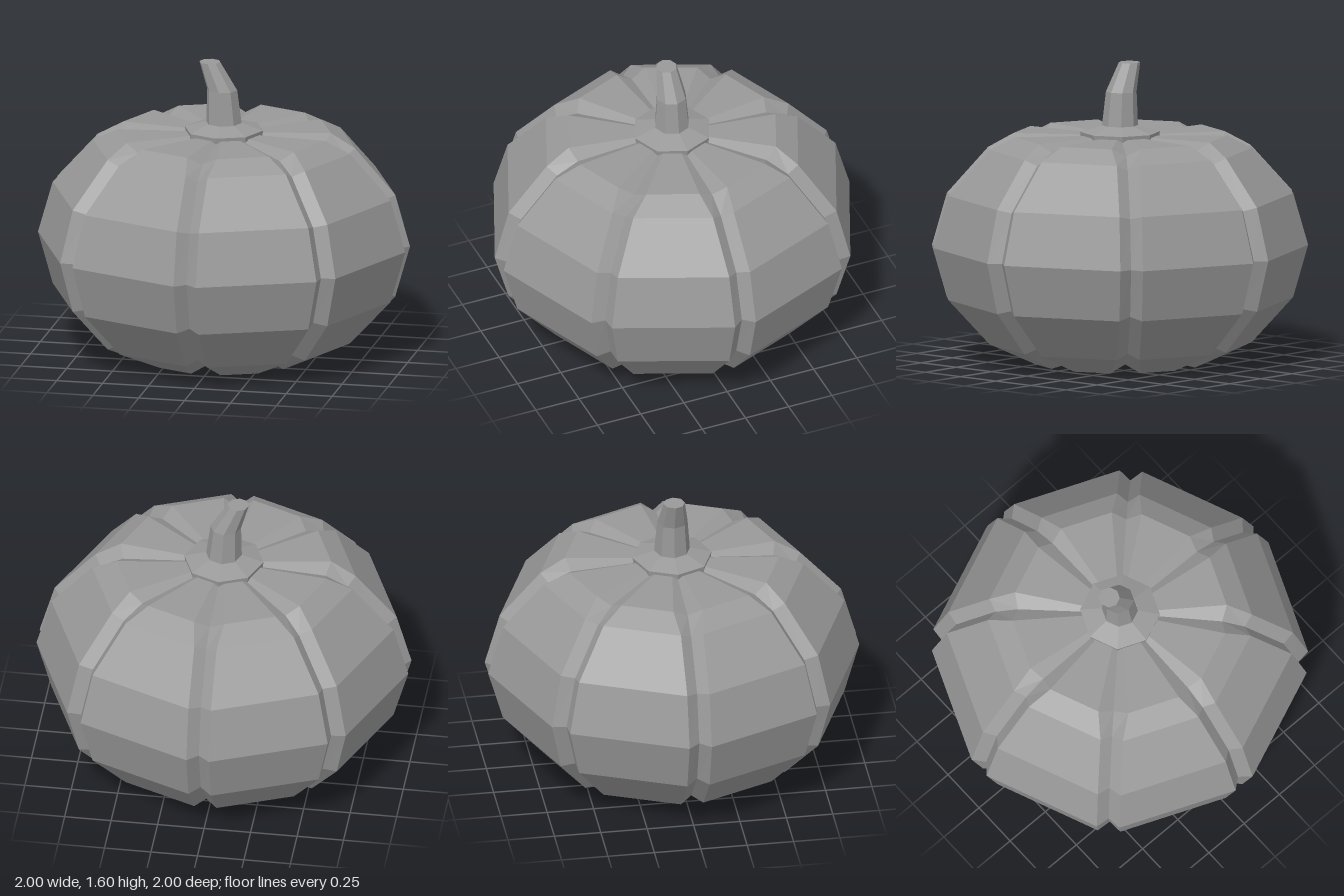
import * as THREE from 'three';

const material = new THREE.MeshStandardMaterial({ color: 0x999999, flatShading: true });

// Skins a stack of closed rings (lowest first), skipping collapsed triangles
function loft(name, rings) {
  const pos = [];
  const tri = (a, b, c) => {
    if (a.distanceTo(b) < 1e-6 || b.distanceTo(c) < 1e-6 || c.distanceTo(a) < 1e-6) return;
    for (const p of [a, b, c]) pos.push(p.x, p.y, p.z);
  };
  for (let i = 0; i < rings.length - 1; i++) {
    const lo = rings[i], hi = rings[i + 1], n = lo.length;
    for (let j = 0; j < n; j++) {
      const k = (j + 1) % n;
      tri(lo[j], hi[j], lo[k]);
      tri(lo[k], hi[j], hi[k]);
    }
  }
  const geometry = new THREE.BufferGeometry();
  geometry.setAttribute('position', new THREE.Float32BufferAttribute(pos, 3));
  geometry.computeVertexNormals();
  const mesh = new THREE.Mesh(geometry, material);
  mesh.name = name;
  return mesh;
}

// Ring of eight V-shaped grooves joined by flat lobes
function ribbedRing([r, y, halfWidth, grooveR, grooveY]) {
  const pts = [];
  for (let i = 0; i < 8; i++) {
    const a = (i * Math.PI) / 4, c = Math.cos(a), s = Math.sin(a);
    for (const [u, v, h] of [[r, -halfWidth, y], [grooveR, 0, grooveY], [r, halfWidth, y]]) {
      pts.push(new THREE.Vector3(u * c - v * s, h, u * s + v * c));
    }
  }
  return pts;
}

// Plain octagonal ring
function octagon([r, y, cx = 0]) {
  return Array.from({ length: 8 }, (_, i) => {
    const a = (i * Math.PI) / 4;
    return new THREE.Vector3(cx + r * Math.cos(a), y, r * Math.sin(a));
  });
}

export function createModel() {
  const model = new THREE.Group();
  model.name = 'pumpkin';

  // Body: lobe radius, height, groove half width, groove radius, groove height
  const body = [
    [0, 0.07, 0, 0, 0.07],
    [0.46, 0, 0.08, 0.44, 0.045],
    [0.7, 0.105, 0.06, 0.665, 0.135],
    [0.92, 0.345, 0.06, 0.873, 0.362],
    [1.0, 0.625, 0.06, 0.95, 0.625],
    [0.92, 0.905, 0.06, 0.873, 0.888],
    [0.7, 1.15, 0.06, 0.665, 1.12],
    [0.565, 1.22, 0.08, 0.545, 1.18],
    [0, 1.215, 0, 0, 1.215],
  ];
  model.add(loft('body', body.map(ribbedRing)));

  // Flared collar beneath the stem
  const collar = [[0, 1.2], [0.208, 1.2], [0.213, 1.235], [0.1, 1.27], [0, 1.27]];
  model.add(loft('stemCollar', collar.map(octagon)));

  // Bent, tapering stem: radius, height, sideways shift
  const stem = [
    [0, 1.25], [0.097, 1.25], [0.096, 1.27], [0.082, 1.45, -0.01],
    [0.057, 1.6, -0.077], [0, 1.6, -0.077],
  ];
  model.add(loft('stem', stem.map(octagon)));

  return model;
}
